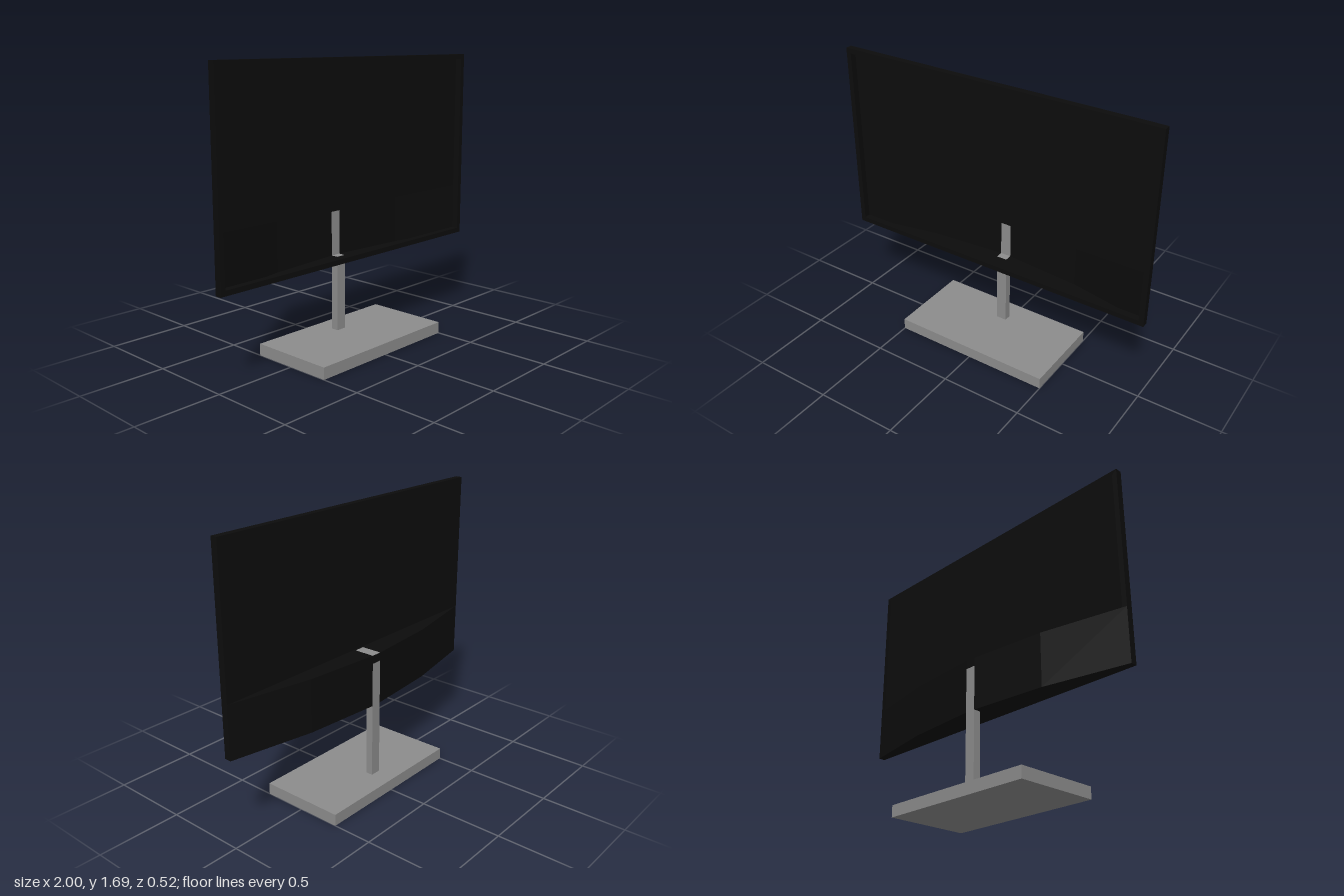
import * as THREE from 'three';

export function createModel() {
  const group = new THREE.Group();
  group.name = 'monitor';
  const black = new THREE.MeshStandardMaterial({ color: 0x0c0c0c, side: THREE.DoubleSide });
  const grey = new THREE.MeshStandardMaterial({ color: 0x8c8c8c, side: THREE.DoubleSide });
  black.name = 'black casing';
  grey.name = 'grey stand';

  const add = (name, geometry, material, x = 0, y = 0, z = 0) => {
    const mesh = new THREE.Mesh(geometry, material);
    mesh.name = name;
    mesh.position.set(x, y, z);
    group.add(mesh);
  };

  const bottom = 0.525, top = 1.69, bulgeTop = 0.84, stripTop = 0.79;
  const half = 0.033, lip = 0.03;

  // Stand: foot and post
  add('foot', new THREE.BoxGeometry(1, 0.07, 0.52), grey, 0, 0.035, 0);
  add('post', new THREE.BoxGeometry(half * 2, bottom - 0.07, 0.045), grey, 0, (bottom + 0.07) / 2, -0.1155);

  // Screen frame, open in front
  const rect = (Type, x, y0, y1) => new Type([
    new THREE.Vector2(-x, y0), new THREE.Vector2(x, y0),
    new THREE.Vector2(x, y1), new THREE.Vector2(-x, y1),
  ]);
  const frame = rect(THREE.Shape, 1, bottom, top);
  frame.holes.push(rect(THREE.Path, 1 - lip, bottom + lip, top - lip));
  add('frame', new THREE.ExtrudeGeometry(frame, { depth: 0.04, bevelEnabled: false }), black);

  // Flat panel above the rear housing
  add('backPanel', new THREE.ShapeGeometry(rect(THREE.Shape, 1 - lip, bulgeTop, top - lip)), black);

  // Rear housing: upright walls between plan points [x, depth]
  const wall = (name, [x0, d0], [x1, d1], y0, y1, material) => {
    const geometry = new THREE.PlaneGeometry(Math.hypot(x1 - x0, d1 - d0), y1 - y0);
    geometry.rotateY(Math.PI + Math.atan2(d1 - d0, x1 - x0));
    add(name, geometry, material, (x0 + x1) / 2, (y0 + y1) / 2, -(d0 + d1) / 2);
  };
  // Level plates drawn from plan points
  const plate = (name, points, y, material) => {
    const shape = new THREE.Shape(points.map(([x, d]) => new THREE.Vector2(x, d)));
    add(name, new THREE.ShapeGeometry(shape).rotateX(-Math.PI / 2), material, 0, y, 0);
  };

  const depth = 0.138;
  for (const s of [-1, 1]) {
    const plan = [[s, 0], [s * 0.5, 0.098], [s * half, depth]];
    for (let i = 0; i < 2; i++) wall('housingWall', plan[i], plan[i + 1], bottom, bulgeTop, black);
    plate('housingTop', [...plan, [s * half, 0]], bulgeTop, black);
    plate('housingBottom', [...plan, [0, depth], [0, 0]], bottom, black);
  }

  // Grey mounting strip up the back and over the top of the housing
  const a = [-half, depth], b = [half, depth];
  wall('mountStrip', a, b, bottom, stripTop, grey);
  wall('mountGap', a, b, stripTop, bulgeTop, black);
  plate('mountTop', [a, b, [half, 0.01], [-half, 0.01]], bulgeTop, grey);
  plate('mountTopEdge', [[-half, 0.01], [half, 0.01], [half, 0], [-half, 0]], bulgeTop, black);

  return group;
}
